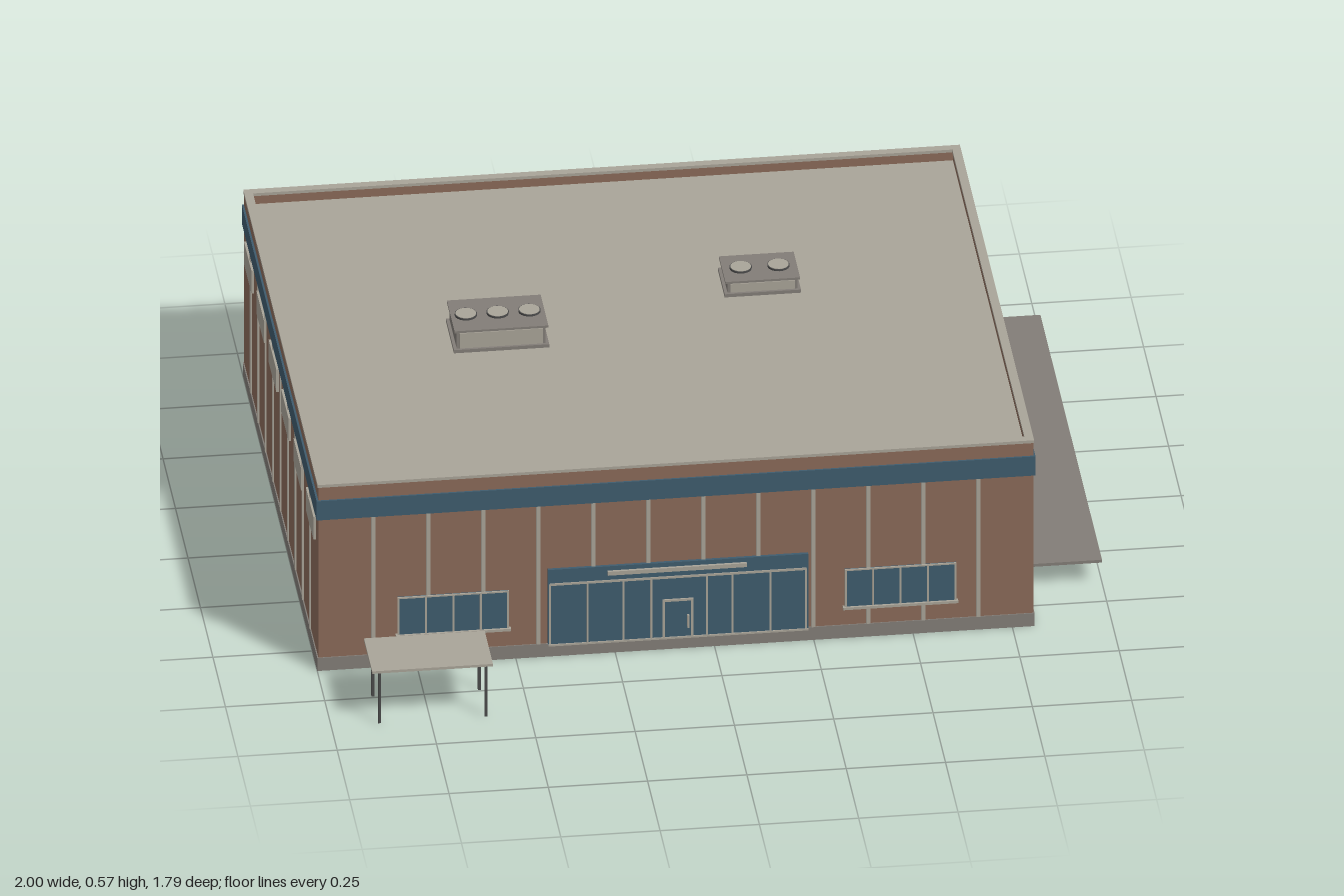
import * as THREE from 'three';

const material = (name, color) => {
  const m = new THREE.MeshStandardMaterial({ color });
  m.name = name;
  return m;
};

export function createModel() {
  const brick = material('brown brick', 0x8a6a59);
  const blue = material('blue glazing', 0x3f5c6e);
  const light = material('light trim', 0xa9a498);
  const grey = material('grey concrete', 0x827d77);
  const dark = material('dark steel', 0x4a4a4a);

  const model = new THREE.Group();
  model.name = 'building';

  const add = (parent, name, geometry, mat, x, y, z) => {
    const mesh = new THREE.Mesh(geometry, mat);
    mesh.name = name;
    mesh.position.set(x, y, z);
    parent.add(mesh);
    return mesh;
  };
  // Box given by its centre in x and z and its bottom and top in y
  const box = (parent, name, mat, x, z, w, d, y0, y1) =>
    add(parent, name, new THREE.BoxGeometry(w, y1 - y0, d), mat, x, (y0 + y1) / 2, z);

  // Building footprint
  const W = 1.8, D = 1.486, CX = -0.097, CZ = -0.145;

  // Rectangular ring around the footprint
  const ring = (name, mat, y0, y1, out, inset) => {
    const rect = (path, w, d) => {
      path.moveTo(-w, -d); path.lineTo(w, -d); path.lineTo(w, d); path.lineTo(-w, d);
      path.closePath();
      return path;
    };
    const shape = rect(new THREE.Shape(), W / 2 + out, D / 2 + out);
    shape.holes.push(rect(new THREE.Path(), W / 2 - inset, D / 2 - inset));
    const g = new THREE.ExtrudeGeometry(shape, { depth: y1 - y0, bevelEnabled: false });
    g.rotateX(-Math.PI / 2);
    add(model, name, g, mat, CX, y0, CZ);
  };
  ring('walls', brick, 0.002, 0.527, 0, 0.018);
  ring('plinth', grey, 0, 0.037, 0.003, 0.008);
  ring('blueBand', blue, 0.435, 0.49, 0.005, 0.005);
  ring('parapetCap', light, 0.527, 0.535, 0.002, 0.02);
  box(model, 'roof', light, CX, CZ, W - 0.03, D - 0.03, 0.49, 0.503);

  // Wall groups: local x runs along the wall, local z points outward
  const wall = (name, x, z, turn) => {
    const g = new THREE.Group();
    g.name = name;
    g.position.set(x, 0, z);
    g.rotation.y = turn;
    model.add(g);
    return g;
  };
  const front = wall('frontWall', CX, CZ + D / 2, 0);
  const back = wall('backWall', CX, CZ - D / 2, Math.PI);
  const right = wall('leftSideWall', CX + W / 2, CZ, Math.PI / 2);
  const left = wall('rightSideWall', CX - W / 2, CZ, -Math.PI / 2);

  // Vertical panel strips and high windows
  const strips = (g, length, bays) => {
    for (let i = 1; i < bays; i++)
      box(g, 'panelStrip', light, -length / 2 + (length * i) / bays, 0.001, 0.011, 0.006, 0.037, 0.435);
  };
  const highWindows = (g, length, count) => {
    for (let i = 0; i < count; i++)
      box(g, 'highWindow', light, -length / 2 + (length * (i + 0.5)) / count, 0.002, 0.15, 0.009, 0.35, 0.415);
  };
  for (const [g, length, bays, windows] of [[front, W, 13, 0], [back, W, 13, 7], [right, D, 10, 6], [left, D, 10, 6]]) {
    strips(g, length, bays);
    highWindows(g, length, windows);
  }

  // Front windows, glazed through the wall
  for (const wx of [-0.658, 0.468]) {
    const x = wx - CX;
    box(front, 'windowGlass', blue, x, -0.007, 0.28, 0.026, 0.09, 0.198);
    for (let i = 0; i <= 4; i++)
      box(front, 'windowMullion', light, x - 0.138 + 0.069 * i, 0.006, 0.005, 0.004, 0.09, 0.198);
    box(front, 'windowSill', light, x, 0.006, 0.29, 0.012, 0.085, 0.092);
    box(front, 'windowHead', light, x, 0.006, 0.28, 0.004, 0.195, 0.199);
  }

  // Glazed entrance with transom, sign strip and door
  const ex = -0.092 - CX;
  box(front, 'entranceGlass', blue, ex, -0.006, 0.655, 0.028, 0.037, 0.252);
  box(front, 'entranceTransom', light, ex, 0.008, 0.645, 0.005, 0.207, 0.213);
  box(front, 'entranceSill', light, ex, 0.008, 0.655, 0.006, 0.033, 0.038);
  for (const x of [-0.415, -0.32, -0.23, -0.16, -0.02, 0.045, 0.14, 0.23])
    box(front, 'entranceMullion', light, x - CX, 0.008, 0.005, 0.004, 0.037, 0.21);
  box(front, 'signStrip', light, -0.095 - CX, 0.011, 0.35, 0.008, 0.229, 0.24);
  for (const x of [-0.129, -0.057])
    box(front, 'doorJamb', light, x - CX, 0.009, 0.006, 0.006, 0.037, 0.146);
  box(front, 'doorHead', light, -0.093 - CX, 0.009, 0.078, 0.006, 0.141, 0.147);
  box(front, 'doorHandle', light, -0.067 - CX, 0.012, 0.005, 0.008, 0.065, 0.1);

  // Loading doors on the dock side
  for (const z of [0.14, -0.425]) {
    const x = CZ - z;
    box(right, 'loadingDoor', light, x, 0.003, 0.204, 0.012, 0.065, 0.26);
    box(right, 'loadingDoorHead', light, x, 0.005, 0.215, 0.016, 0.26, 0.271);
    box(right, 'loadingDoorSeam', dark, x, 0.0093, 0.003, 0.001, 0.07, 0.26);
  }

  // Loading dock slab with tapered bumpers
  box(model, 'dockSlab', grey, 0.902, -0.202, 0.194, 1.235, 0.063, 0.071);
  for (const z of [-0.155, -0.42, -0.685]) {
    const g = new THREE.CylinderGeometry(0.026, 0.018, 0.022, 4);
    g.rotateY(Math.PI / 4);
    g.scale(0.33, 1, 1);
    add(model, 'dockBumper', g, light, 0.993, 0.055, z);
  }

  // Free-standing canopy on four posts
  box(model, 'canopyRoof', light, -0.746, 0.807, 0.304, 0.167, 0.15, 0.157);
  for (const x of [-0.878, -0.61])
    for (const z of [0.742, 0.876])
      box(model, 'canopyPost', dark, x, z, 0.007, 0.007, 0, 0.15);

  // Rooftop units with round fans
  const rooftopUnit = (x, z, w, d, top, fans, pitch) => {
    const g = new THREE.Group();
    g.name = 'rooftopUnit';
    model.add(g);
    box(g, 'unitCurb', grey, x, z, w, d, 0.5, 0.512);
    box(g, 'unitBody', grey, x, z, w - 0.016, d - 0.016, 0.512, top - 0.006);
    box(g, 'unitLid', grey, x, z, w - 0.004, d - 0.004, top - 0.006, top);
    box(g, 'unitPanel', light, x, z + d / 2 - 0.006, w - 0.03, 0.006, 0.514, top - 0.008);
    for (let i = 0; i < fans; i++) {
      const fx = x + (i - (fans - 1) / 2) * pitch;
      add(g, 'fanRim', new THREE.CylinderGeometry(0.028, 0.028, 0.006, 20), dark, fx, top + 0.002, z);
      add(g, 'fanCover', new THREE.CylinderGeometry(0.026, 0.026, 0.006, 20), light, fx, top + 0.003, z);
    }
  };
  rooftopUnit(-0.452, -0.147, 0.24, 0.16, 0.565, 3, 0.08);
  rooftopUnit(0.23, -0.327, 0.192, 0.134, 0.546, 2, 0.095);

  return model;
}
